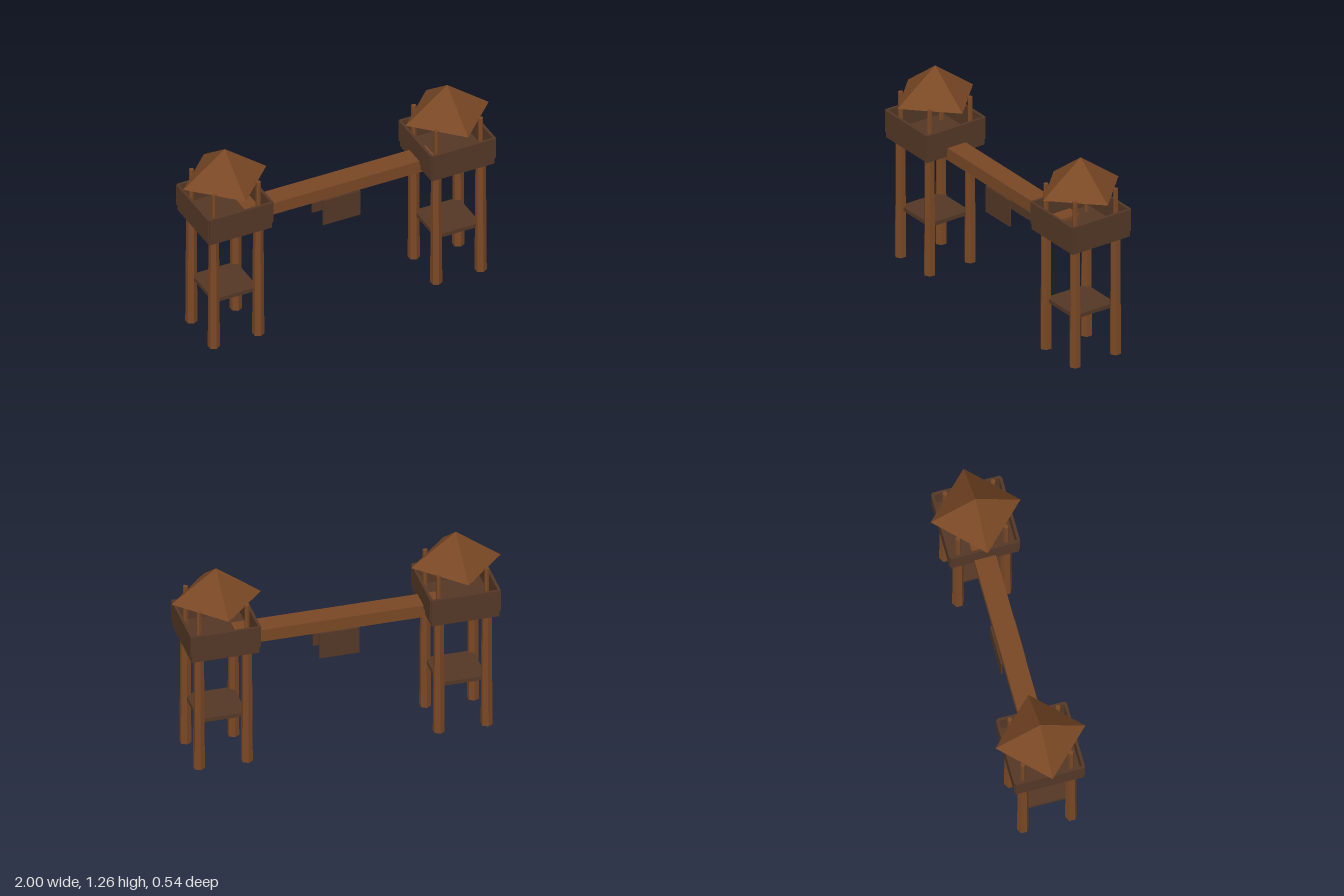
import * as THREE from 'three';

export function createModel() {
  const model = new THREE.Group();
  model.name = 'twinTowerBridge';

  const warmWood = new THREE.MeshStandardMaterial({ color: 0x7a4825, flatShading: true });
  warmWood.name = 'warm wood';
  const darkWood = new THREE.MeshStandardMaterial({ color: 0x543826, flatShading: true });
  darkWood.name = 'dark wood';

  function add(parent, name, geometry, material, x, y, z) {
    const mesh = new THREE.Mesh(geometry, material);
    mesh.name = name;
    mesh.position.set(x, y, z);
    parent.add(mesh);
    return mesh;
  }
  // Box given by its bottom and top heights
  function box(parent, name, material, w, bottom, top, d, x = 0, z = 0) {
    return add(parent, name, new THREE.BoxGeometry(w, top - bottom, d), material, x, (bottom + top) / 2, z);
  }
  // Six-sided pole given by its bottom and top heights
  function pole(parent, name, rTop, rBottom, bottom, top, x, z) {
    const geometry = new THREE.CylinderGeometry(rTop, rBottom, top - bottom, 6);
    return add(parent, name, geometry, warmWood, x, (bottom + top) / 2, z);
  }

  const post = 0.1455; // offset of legs and roof posts
  const edge = 0.206;  // half width of the deck

  function tower(name, x) {
    const group = new THREE.Group();
    group.name = name;
    group.position.x = x;
    model.add(group);

    // Legs and roof posts at the four corners
    for (const sx of [-1, 1]) {
      for (const sz of [-1, 1]) {
        pole(group, 'leg', 0.031, 0.036, 0, 0.77, sx * post, sz * post);
        pole(group, 'roofPost', 0.015, 0.015, 0.81, 1.077, sx * post, sz * post);
      }
    }

    // Lower shelf and deck
    box(group, 'shelf', darkWood, 0.29, 0.305, 0.33, 0.29);
    box(group, 'deck', darkWood, edge * 2, 0.77, 0.81, edge * 2);

    // Parapet walls
    for (const s of [-1, 1]) {
      box(group, 'parapetWall', darkWood, edge * 2, 0.81, 0.95, 0.017, 0, s * edge);
      box(group, 'parapetWall', darkWood, 0.017, 0.81, 0.95, edge * 2, s * edge, 0);
    }

    // Pyramid roof with its corners on the axes
    add(group, 'roof', new THREE.ConeGeometry(0.272, 0.205, 4), warmWood, 0, 1.1625, 0);
  }
  tower('rightTower', -0.728);
  tower('leftTower', 0.728);

  // Bridge beam with a hanging panel on either side
  box(model, 'bridgeBeam', warmWood, 1.24, 0.75, 0.83, 0.13);
  for (const s of [-1, 1]) {
    box(model, 'hangingPanel', darkWood, 0.242, 0.58, 0.75, 0.01, 0, s * 0.071);
  }

  return model;
}
